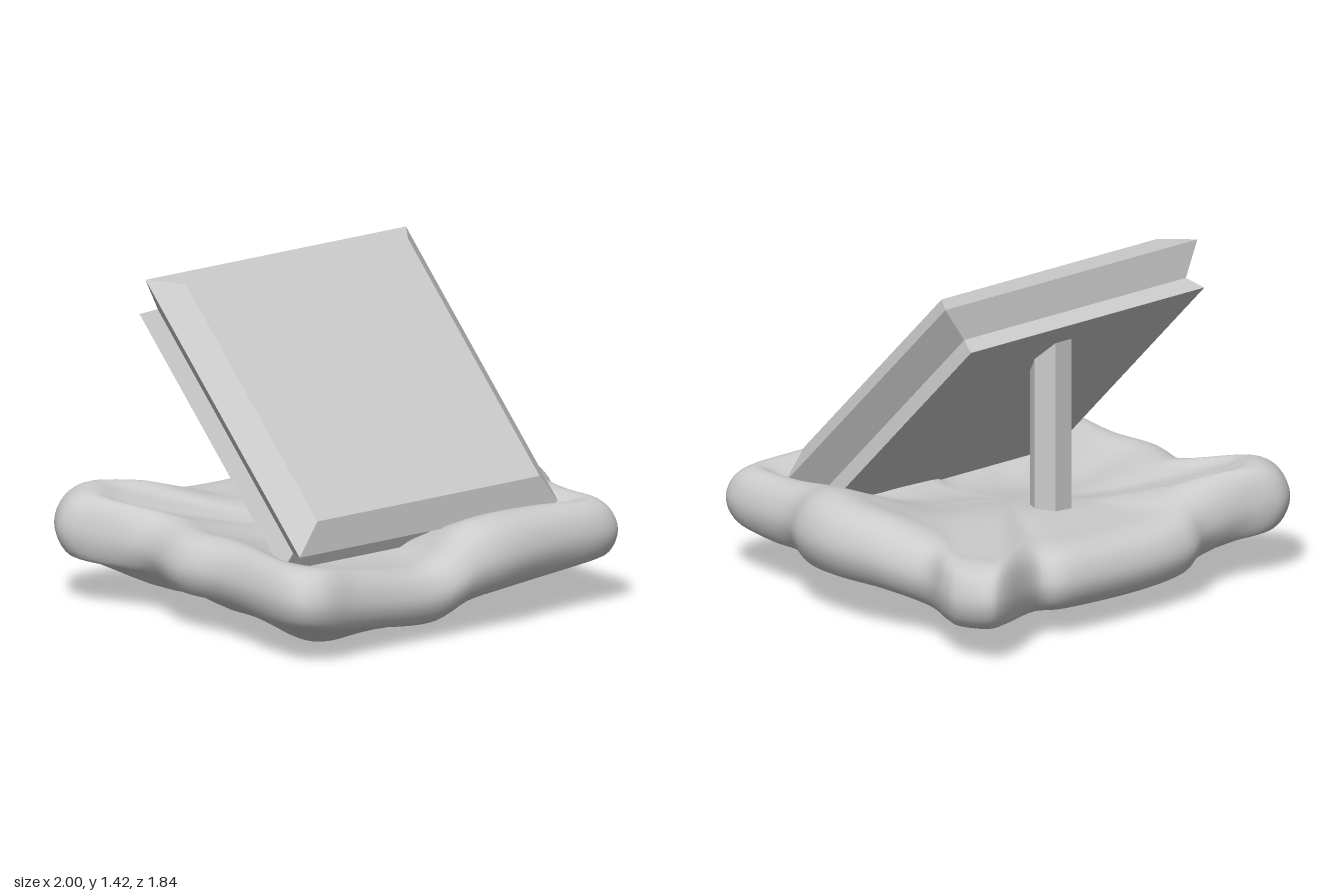
import * as THREE from 'three';
import { mergeVertices } from 'three/addons/utils/BufferGeometryUtils.js';

// Cushion outline, counter-clockwise from above: x, z, rim height, rim radius
const RIM = [
  [-0.96, 0.74, 0.27, 0.14], [-0.86, 0.89, 0.26, 0.14], [-0.6, 0.88, 0.22, 0.13],
  [-0.2, 0.865, 0.18, 0.13], [0, 0.9, 0.27, 0.16], [0.18, 0.915, 0.3, 0.17],
  [0.5, 0.88, 0.31, 0.16], [0.76, 0.87, 0.32, 0.14], [0.84, 0.8, 0.32, 0.14],
  [0.86, 0.6, 0.31, 0.15], [0.88, 0.4, 0.32, 0.16], [0.97, 0.22, 0.33, 0.18],
  [1, 0, 0.33, 0.17], [0.96, -0.25, 0.32, 0.16], [0.87, -0.46, 0.27, 0.15],
  [0.94, -0.66, 0.27, 0.14], [0.96, -0.77, 0.27, 0.14], [0.91, -0.91, 0.28, 0.14],
  [0.8, -0.91, 0.28, 0.14], [0.52, -0.785, 0.24, 0.14], [0.38, -0.85, 0.24, 0.14],
  [0, -0.865, 0.23, 0.14], [-0.3, -0.85, 0.24, 0.14], [-0.46, -0.78, 0.27, 0.15],
  [-0.66, -0.78, 0.31, 0.16], [-0.85, -0.82, 0.33, 0.16], [-0.96, -0.74, 0.33, 0.16],
  [-1, -0.6, 0.32, 0.15], [-0.86, -0.3, 0.28, 0.14], [-0.93, 0, 0.27, 0.14],
  [-0.91, 0.28, 0.27, 0.14],
];

function cushionGeometry() {
  const around = 150, across = 44;
  const path = new THREE.CatmullRomCurve3(RIM.map(([x, z, y]) => new THREE.Vector3(x, y, z)), true, 'catmullrom', 0.5);
  const radii = new THREE.CatmullRomCurve3(RIM.map((p) => new THREE.Vector3(p[3], 0, 0)), true, 'catmullrom', 0.5);
  const pos = [], index = [];
  for (let i = 0; i < around; i++) {
    const p = path.getPoint(i / around), r = radii.getPoint(i / around).x;
    const k = r / Math.hypot(p.x, p.z);
    const floor = 0.34 - 0.05 * p.z + 0.03 * p.x, top = p.y + r;
    // The underside hangs lowest at the front left and hollows out at the back right
    const sag = 0.075 + 0.05 * p.x - 0.045 * p.z;
    // Section from top centre, over the puffed rim, to bottom centre
    const section = new THREE.SplineCurve([
      [0, 0.34], [0.35, floor], [1 - 2.1 * k, floor * 0.4 + top * 0.6], [1 - k, top], [1 - 0.3 * k, p.y + 0.71 * r],
      [1, p.y], [1 - 0.3 * k, p.y - 0.71 * r], [1 - k, p.y - 0.95 * r],
      [0.6, sag], [0.3, 0.03 + 0.25 * sag], [0, 0.03],
    ].map(([f, y]) => new THREE.Vector2(f, y)));
    for (let j = 0; j <= across; j++) {
      const s = section.getPoint(j / across);
      pos.push(p.x * s.x, Math.max(s.y, 0), p.z * s.x);
      if (j === across) continue;
      const a = i * (across + 1) + j, b = ((i + 1) % around) * (across + 1) + j;
      index.push(a, a + 1, b, b, a + 1, b + 1);
    }
  }
  let geo = new THREE.BufferGeometry();
  geo.setAttribute('position', new THREE.Float32BufferAttribute(pos, 3));
  geo.setIndex(index);
  geo = mergeVertices(geo, 1e-5);
  geo.computeVertexNormals();
  return geo;
}

export function createModel() {
  const model = new THREE.Group();
  const smooth = new THREE.MeshStandardMaterial({ color: 0xcccccc, side: THREE.DoubleSide });
  const flat = new THREE.MeshStandardMaterial({ color: 0xcccccc, flatShading: true });
  const add = (name, geo, mat, x, y, z) => {
    const mesh = new THREE.Mesh(geo, mat);
    mesh.name = name;
    mesh.position.set(x, y, z);
    model.add(mesh);
  };

  // Soft lumpy cushion with a sunken middle
  add('cushion', cushionGeometry(), smooth, 0, 0, 0);

  // Square panel with a grooved edge, leaning back 45 degrees: half width, height along its normal
  const profile = [[0, 0.527], [0.664, 0.527], [0.63, 0.605], [0.717, 0.725], [0.612, 0.817], [0, 0.817]];
  const panel = new THREE.LatheGeometry(profile.map(([h, n]) => new THREE.Vector2(h * Math.SQRT2, n)), 4);
  panel.rotateY(Math.PI / 4).rotateX(Math.PI / 4);
  add('panel', panel, flat, -0.028, 0.403, -0.403);

  // Six-sided prop behind the panel
  const prop = new THREE.CylinderGeometry(0.092, 0.092, 1, 6).rotateY(Math.PI / 6);
  add('prop', prop, flat, 0.01, 0.66, -0.31);

  return model;
}
